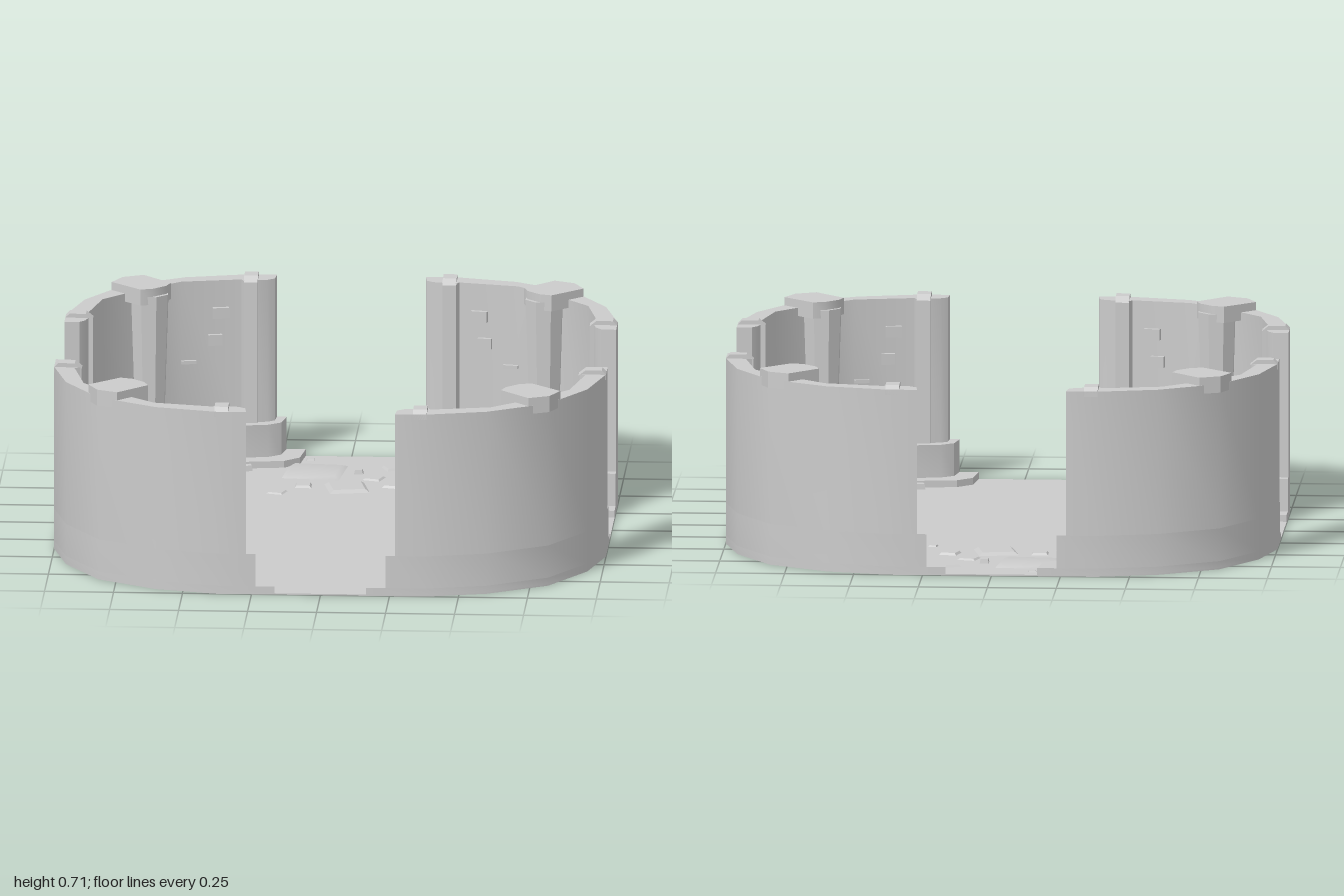
import * as THREE from 'three';
import { toCreasedNormals } from 'three/addons/utils/BufferGeometryUtils.js';

const material = new THREE.MeshStandardMaterial({ color: 0xcccccc });

function add(parent, name, geometry, x = 0, y = 0, z = 0, turn = 0) {
  const mesh = new THREE.Mesh(geometry, material);
  mesh.name = name;
  mesh.position.set(x, y, z);
  mesh.rotation.y = turn;
  parent.add(mesh);
  return mesh;
}

// Upright prism from an [x, z] outline
function prism(outline, y0, y1) {
  const shape = new THREE.Shape(outline.map(([x, z]) => new THREE.Vector2(x, z)));
  const geometry = new THREE.ExtrudeGeometry(shape, { depth: y1 - y0, bevelEnabled: false });
  geometry.rotateX(Math.PI / 2).translate(0, y1, 0);
  return toCreasedNormals(geometry, 0.55);
}

// Mirror a half outline across the corner's diagonal
const swap = (points) => points.map(([x, z]) => [z, x]).reverse();
const outer = [[1, 0.38], [0.945, 0.6], [0.815, 0.815], [0.6, 0.945], [0.38, 1]];
const cornerPrism = (inner, y0, y1) => prism([...inner, ...swap(inner), ...outer], y0, y1);

const lowStep = [[0.166, 1], [0.18, 0.877], [0.235, 0.824], [0.53, 0.78], [0.61, 0.69]];
const highStep = [[0.235, 1], [0.25, 0.915], [0.295, 0.88], [0.59, 0.825], [0.67, 0.74]];
const wallInner = [[0.27, 1], [0.275, 0.945], [0.3, 0.925], [0.385, 0.905], [0.395, 0.925],
  [0.61, 0.88], [0.745, 0.76]];
const capHalf = [[0.82, 0.82], [0.745, 0.855], [0.64, 0.745], [0.655, 0.7]];

function makeCorner() {
  const corner = new THREE.Group();
  corner.name = 'cornerWall';
  add(corner, 'lowStep', cornerPrism(lowStep, 0, 0.03));
  add(corner, 'highStep', cornerPrism(highStep, 0.03, 0.15));
  add(corner, 'wall', cornerPrism(wallInner, 0.15, 0.68));

  // Corner pillar
  const d = Math.PI / 4;
  add(corner, 'pillarBase', new THREE.BoxGeometry(0.13, 0.06, 0.13), 0.715, 0.18, 0.715, d);
  const shaft = new THREE.CylinderGeometry(0.072, 0.056, 0.48, 8);
  add(corner, 'pillarShaft', toCreasedNormals(shaft, 0.4), 0.715, 0.44, 0.715, Math.PI / 8);
  add(corner, 'pillarCap', prism([...capHalf, ...swap(capHalf.slice(1))], 0.65, 0.71));

  // Ribs at both wall ends, each running over the top of the wall
  const ridge = new THREE.Shape();
  [[0.9, 0.15], [0.93, 0.15], [0.93, 0.66], [1, 0.66], [1, 0.68], [0.985, 0.695],
    [0.925, 0.695], [0.9, 0.675]].forEach(([a, b], i) => (i ? ridge.lineTo(a, b) : ridge.moveTo(a, b)));
  const rib = new THREE.ExtrudeGeometry(ridge, { depth: 0.05, bevelEnabled: false });
  add(corner, 'endRib', rib, 0, 0, 0.335);
  add(corner, 'endRib', rib, 0.385, 0, 0, -Math.PI / 2);
  return corner;
}

// Flat-topped low block, s wide
function block(s, h, taper) {
  const geometry = new THREE.CylinderGeometry(s * taper / Math.SQRT2, s / Math.SQRT2, h, 4);
  return toCreasedNormals(geometry.rotateY(Math.PI / 4).translate(0, h / 2, 0), 0.6);
}

export function createModel() {
  const model = new THREE.Group();
  model.name = 'roundedChamber';
  const floorY = 0.005;

  // Floor slab with four rounded corners
  const outline = [];
  for (let q = 0; q < 4; q++) {
    const c = Math.round(Math.cos(q * Math.PI / 2)), s = Math.round(Math.sin(q * Math.PI / 2));
    outer.forEach(([x, z]) => outline.push([x * c - z * s, x * s + z * c]));
  }
  add(model, 'floor', prism(outline, 0, floorY));

  // Corner walls and the rubble in front of each: x, z, size, height
  const rubble = [
    [-0.44, -0.715, 0.07, 0.03], [-0.365, -0.78, 0.033, 0.02], [-0.615, -0.435, 0.033, 0.02],
    [-0.675, -0.51, 0.065, 0.008], [-0.74, -0.395, 0.065, 0.008],
  ];
  for (let q = 0; q < 4; q++) {
    const corner = makeCorner();
    corner.rotation.y = -q * Math.PI / 2;
    model.add(corner);
    const pile = new THREE.Group();
    pile.name = 'cornerRubble';
    pile.rotation.y = -q * Math.PI / 2;
    rubble.forEach(([x, z, s, h], i) =>
      add(pile, 'stone', block(s, h, 0.85), x, floorY, z, [-0.25, 0.2, 0, 0.25, 0.75][i]));
    model.add(pile);
  }

  // Raised bricks on the inner wall faces: x, y, z, width, height, turn
  const bricks = [
    [0.47, 0.56, 0.908, 0.06, 0.04, 0.206], [0.49, 0.46, 0.904, 0.05, 0.04, 0.206],
    [0.585, 0.38, 0.886, 0.055, 0.012, 0.206], [0.9, 0.27, 0.5, 0.055, 0.04, Math.PI / 2 - 0.206],
  ];
  for (const sx of [-1, 1]) for (const sz of [-1, 1]) {
    bricks.forEach(([x, y, z, w, h, turn]) =>
      add(model, 'brick', new THREE.BoxGeometry(w, h, 0.03), sx * x, y, sz * z, sx * sz * turn));
  }

  // Three like clusters of worn floor stones: x, z, size, turn, height
  const tiles = [
    [-0.78, -0.1, 0.21, -0.1, 0.009], [-0.65, 0.13, 0.145, 0.2, 0.011], [-0.81, 0.105, 0.06, 0, 0.008],
    [-0.485, 0.09, 0.065, -0.25, 0.008], [-0.5, -0.165, 0.065, 0.4, 0.008], [-0.56, -0.015, 0.065, -0.3, 0.006],
    [-0.62, -0.09, 0.033, 0, 0.016], [-0.415, 0.24, 0.03, -0.2, 0.006], [-0.805, -0.275, 0.03, 0.1, 0.006],
    [-0.9, 0.2, 0.06, -0.3, 0.005],
  ];
  for (const [dx, dz] of [[0, 0], [1.335, 0], [0.66, -0.665]]) {
    const cluster = new THREE.Group();
    cluster.name = 'floorStones';
    cluster.position.set(dx, floorY, dz);
    tiles.forEach(([x, z, s, turn, h]) => add(cluster, 'floorStone', block(s, h, 0.8), x, 0, z, turn));
    model.add(cluster);
  }
  return model;
}
